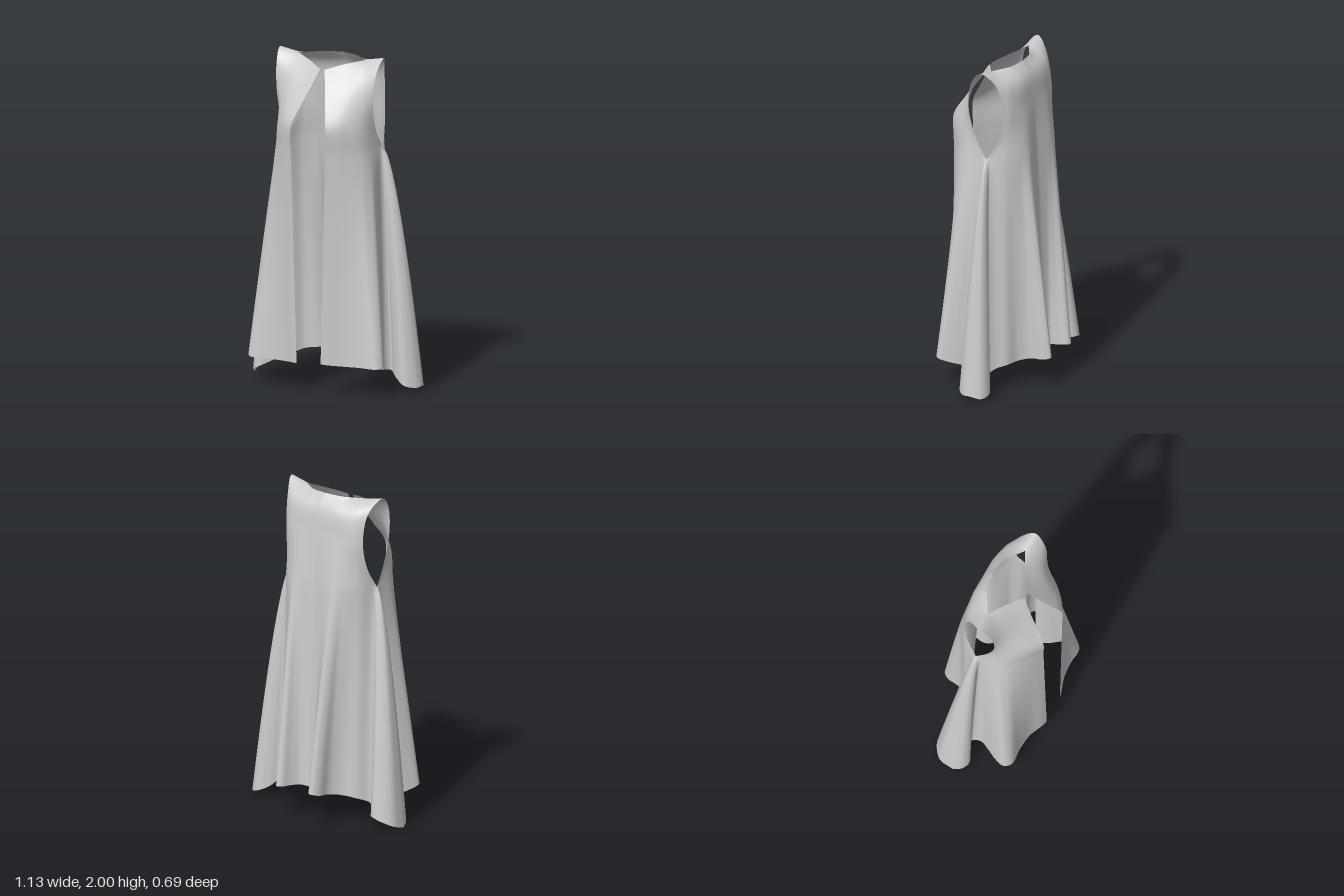
import * as THREE from 'three';
import { mergeGeometries, mergeVertices } from 'three/addons/utils/BufferGeometryUtils.js';

const V = (p) => new THREE.Vector3(...p);
const UPPER_ROWS = 24, SKIRT_ROWS = 40, STEPS = 6;

// Upper body: columns [x, y, z] from underarm height to the top, running from the armhole inwards
const frontColumns = [
  [[.31, 1.45, 0], [.30, 1.57, .075], [.305, 1.75, .122], [.318, 1.92, .1], [.33, 2, .03]],
  [[.28, 1.45, .18], [.265, 1.58, .19], [.25, 1.74, .165], [.235, 1.9, .11], [.21, 1.975, .025]],
  [[.19, 1.45, .28], [.19, 1.6, .275], [.17, 1.72, .23], [.135, 1.85, .16], [.10, 1.95, .09]],
  [[.10, 1.45, .34], [.10, 1.6, .34], [.067, 1.71, .28], [.034, 1.815, .215], [0, 1.918, .155]],
];
const backColumns = [
  [[.31, 1.45, 0], [.287, 1.58, -.065], [.275, 1.75, -.089], [.29, 1.92, -.055], [.33, 2, .03]],
  [[.26, 1.45, -.108], [.238, 1.6, -.12], [.228, 1.75, -.122], [.222, 1.92, -.085], [.21, 1.975, .025]],
  [[.14, 1.45, -.188], [.135, 1.6, -.168], [.13, 1.75, -.146], [.12, 1.9, -.12], [.11, 1.98, -.045]],
  [[0, 1.45, -.168], [0, 1.6, -.158], [0, 1.75, -.147], [0, 1.9, -.125], [0, 1.985, -.07]],
];

// Hem folds: [x, y, z, u], where u is the place across the panel the fold hangs from (0 = side seam)
const hems = {
  leftFront: [
    [.56, .03, -.02, 0], [.545, .025, .03, .012], [.49, .04, .078, .025], [.42, .08, .05, .038],
    [.37, .11, .01, .05], [.345, .12, .05, .08], [.365, .13, .11, .13], [.41, .15, .18, .19],
    [.437, .17, .25, .24], [.40, .17, .288, .29], [.30, .17, .285, .5], [.2, .17, .297, .72],
    [.11, .175, .328, .92], [.07, .18, .34, 1],
  ],
  leftBack: [
    [.56, .03, -.02, 0], [.53, .015, -.09, .015], [.47, .03, -.11, .03], [.41, .06, -.08, .045],
    [.37, .10, -.045, .06], [.325, .13, -.07, .13], [.28, .15, -.125, .27], [.21, .16, -.16, .42],
    [.165, .17, -.22, .53], [.167, .18, -.305, .6], [.147, .19, -.343, .64], [.118, .19, -.333, .69],
    [.09, .19, -.275, .75], [.055, .19, -.232, .83], [0, .19, -.225, 1],
  ],
  rightFront: [
    [-.565, 0, -.03, 0], [-.545, .03, .02, .012], [-.50, .05, .045, .025], [-.44, .08, .02, .038],
    [-.39, .11, 0, .05], [-.37, .12, .05, .08], [-.395, .13, .11, .13], [-.435, .15, .18, .19],
    [-.457, .17, .25, .24], [-.42, .165, .288, .29], [-.31, .165, .285, .5], [-.21, .165, .295, .72],
    [-.13, .17, .328, .92], [-.09, .17, .34, 1],
  ],
  rightBack: [
    [-.565, 0, -.03, 0], [-.56, .03, -.12, .012], [-.51, .06, -.17, .024], [-.46, .08, -.185, .036],
    [-.42, .08, -.16, .048], [-.385, .09, -.08, .06], [-.34, .12, -.07, .13], [-.28, .15, -.13, .27],
    [-.2, .16, -.16, .42], [-.15, .17, -.22, .53], [-.14, .18, -.3, .6], [-.115, .19, -.335, .65],
    [-.088, .19, -.333, .69], [-.06, .19, -.28, .75], [-.035, .19, -.235, .84], [0, .19, -.225, 1],
  ],
};

// One quarter of the garment: fitted upper panel continuing into the draped skirt
function panel(hem, isFront, isRight) {
  const [columns, opposite] = isFront ? [frontColumns, backColumns] : [backColumns, frontColumns];
  const place = ([x, y, z]) => {
    if (!isRight) return V([x, y, z]);
    return V([-x - .03 * (isFront ? 1 : Math.min(1, x / .2)), y, z]);
  };
  // the two shoulder columns run on over the shoulder, so that it is rounded
  const verticals = columns.map((c, i) => {
    const points = i < 2 ? [...c, opposite[i][3]] : c;
    return { curve: new THREE.CatmullRomCurve3(points.map(place)), top: 4 / (points.length - 1) };
  });
  const rowAt = (v) => {
    const pts = verticals.map(({ curve, top }) => curve.getPoint(v * top));
    const curve = new THREE.CatmullRomCurve3(pts);
    return (u) => {
      const p = curve.getPoint(u), i = Math.floor(u * 3);
      // the top edge straightens: shoulder seams meet and the neck has a corner
      return i < 2 ? p.lerp(pts[i].clone().lerp(pts[i + 1], u * 3 - i), v ** 4) : p;
    };
  };

  const cols = (hem.length - 1) * STEPS;
  const hemCurve = new THREE.CatmullRomCurve3(hem.map((p) => V(p.slice(0, 3))));
  const us = Array.from({ length: cols + 1 }, (_, i) => {
    const k = Math.min(Math.floor(i / STEPS), hem.length - 2);
    return THREE.MathUtils.lerp(hem[k][3], hem[k + 1][3], i / STEPS - k);
  });

  const positions = [], index = [];
  for (let r = 0; r <= UPPER_ROWS; r++) {
    const row = rowAt(1 - r / UPPER_ROWS);
    us.forEach((u) => positions.push(...row(u)));
  }
  const chest = rowAt(0);
  for (let r = 1; r <= SKIRT_ROWS; r++) {
    const s = r / SKIRT_ROWS;
    us.forEach((u, i) => {
      const a = chest(u), b = hemCurve.getPoint(i / cols);
      // side folds swing out early but widen evenly
      const flare = s ** (.63 + .32 * THREE.MathUtils.smoothstep(u, .03, .28));
      positions.push(a.x + (b.x - a.x) * flare, a.y + (b.y - a.y) * s, a.z + (b.z - a.z) * s ** .93);
    });
  }
  // corners ordered so that front faces point outwards
  const w = cols + 1;
  for (let r = 0; r < UPPER_ROWS + SKIRT_ROWS; r++) {
    for (let c = 0; c < cols; c++) {
      const a = r * w + c, b = a + 1, d = a + w, e = d + 1;
      if (isFront !== isRight) index.push(a, d, b, b, d, e);
      else index.push(a, b, d, b, e, d);
    }
  }
  const g = new THREE.BufferGeometry();
  g.setAttribute('position', new THREE.Float32BufferAttribute(positions, 3));
  g.setIndex(index);
  return g;
}

export function createModel() {
  const group = new THREE.Group();
  group.name = 'sleevelessOpenCoat';

  // Panels welded along the side and back seams for smooth shading
  const cloth = mergeVertices(mergeGeometries([
    panel(hems.leftFront, true, false),
    panel(hems.leftBack, false, false),
    panel(hems.rightBack, false, true),
    panel(hems.rightFront, true, true),
  ]), 1e-4);
  cloth.computeVertexNormals();

  const coat = new THREE.Mesh(cloth, new THREE.MeshStandardMaterial({ color: 0xcccccc, side: THREE.DoubleSide }));
  coat.name = 'drapedCloth';
  group.add(coat);
  return group;
}
